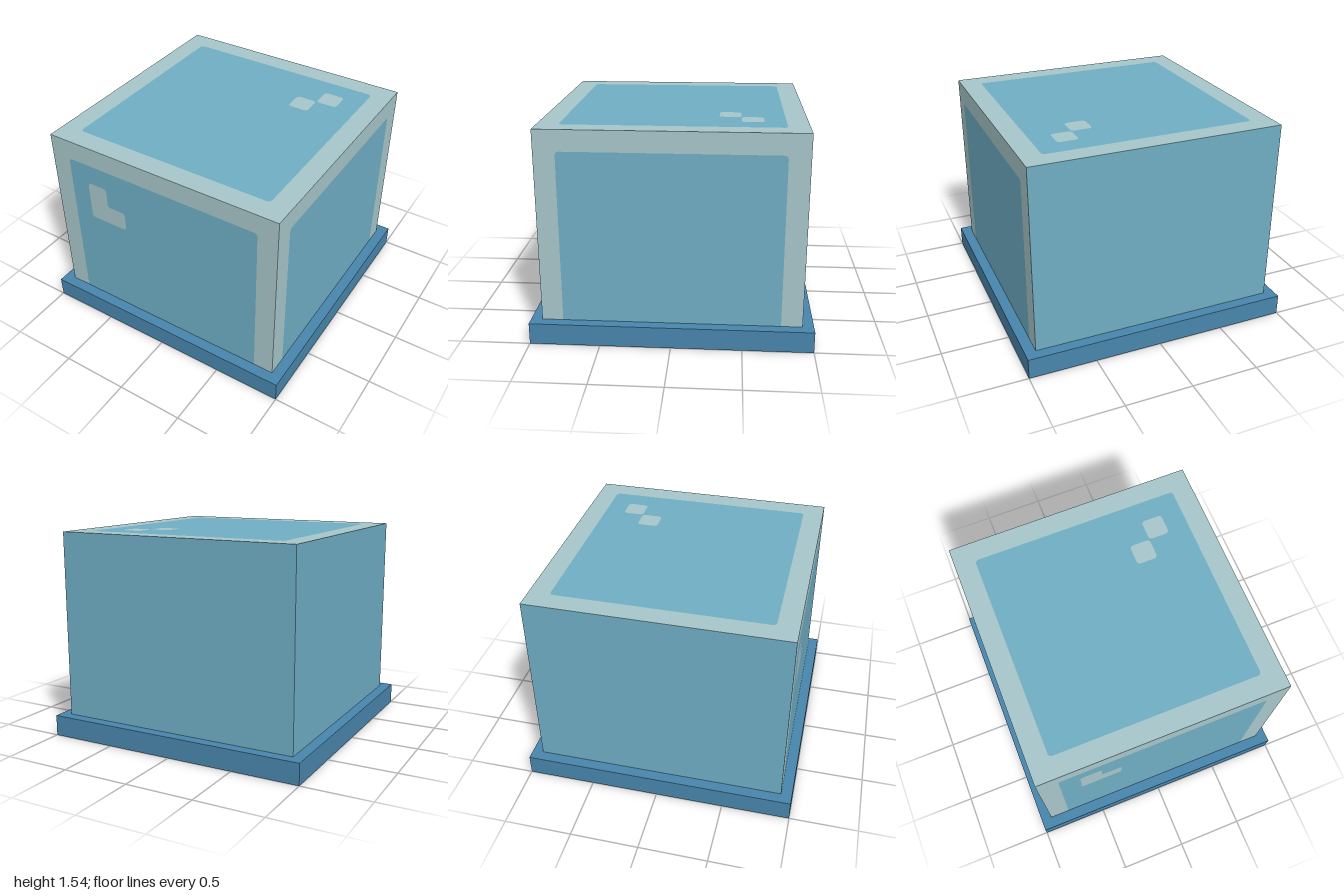
import * as THREE from 'three';

const BASE_H = 0.155, TOP = 1.54, HALF = 0.92, PANEL = 0.77, HOLE = 0.845, R = 0.03;

const flat = (name, color) => {
  const m = new THREE.MeshStandardMaterial({ color, side: THREE.DoubleSide });
  m.name = name;
  return m;
};

// Polygon path; a third value in a point rounds that corner
function trace(path, points) {
  const n = points.length;
  points.forEach(([x, y, r = 0], i) => {
    const toward = ([px, py]) => {
      const d = Math.hypot(px - x, py - y);
      return [x + ((px - x) * r) / d, y + ((py - y) * r) / d];
    };
    const a = toward(points[(i + n - 1) % n]);
    const b = toward(points[(i + 1) % n]);
    if (i === 0) path.moveTo(...a); else path.lineTo(...a);
    if (r) path.quadraticCurveTo(x, y, ...b);
  });
  path.closePath();
  return path;
}

const rect = (x0, y0, x1, y1, r = 0) => [[x0, y0, r], [x1, y0, r], [x1, y1, r], [x0, y1, r]];

function sheet(name, points, material, holes = []) {
  const shape = trace(new THREE.Shape(), points);
  holes.forEach((h) => shape.holes.push(trace(new THREE.Path(), h)));
  const mesh = new THREE.Mesh(new THREE.ShapeGeometry(shape, 5), material);
  mesh.name = name;
  return mesh;
}

export function createModel() {
  const model = new THREE.Group();
  model.name = 'glassBlockOnBase';
  const pale = flat('paleFrame', 0xa6c5c9);
  const blue = flat('glassBlue', 0x6eadc3);
  const deep = flat('baseBlue', 0x4885ac);

  // Base: square ring, open in the middle
  const ring = trace(new THREE.Shape(), rect(-1, -1, 1, 1));
  ring.holes.push(trace(new THREE.Path(), rect(-HOLE, -HOLE, HOLE, HOLE)));
  const base = new THREE.Mesh(new THREE.ExtrudeGeometry(ring, { depth: BASE_H, bevelEnabled: false }), deep);
  base.name = 'base';
  base.rotation.x = -Math.PI / 2;
  model.add(base);

  // Framed side wall: pale border on three edges around a blue panel
  const side = (name, marks) => {
    const wall = new THREE.Group();
    wall.name = name;
    const inTop = TOP - (HALF - PANEL);
    wall.add(
      sheet(name + 'Frame', [
        [-HALF, BASE_H], [-PANEL, BASE_H], [-PANEL, inTop, R], [PANEL, inTop, R],
        [PANEL, BASE_H], [HALF, BASE_H], [HALF, TOP], [-HALF, TOP],
      ], pale),
      sheet(name + 'Panel', [
        [-PANEL, BASE_H], [PANEL, BASE_H], [PANEL, inTop, R], [-PANEL, inTop, R],
      ], blue, marks),
      ...marks.map((m) => sheet(name + 'Glint', m, pale)),
    );
    model.add(wall);
    return wall;
  };

  // Front wall with its L-shaped glint
  const glint = [
    [-0.62, 0.93, R], [-0.31, 0.93, R], [-0.31, 1.08, R],
    [-0.46, 1.08, 0.02], [-0.46, 1.235, R], [-0.62, 1.235, R],
  ];
  side('frontWall', [glint]).position.z = HALF;

  const leftWall = side('leftWall', []);
  leftWall.rotation.y = Math.PI / 2;
  leftWall.position.x = HALF;

  // Plain back and right walls
  const plain = rect(-HALF, BASE_H, HALF, TOP);
  const backWall = sheet('backWall', plain, blue);
  backWall.rotation.y = Math.PI;
  backWall.position.z = -HALF;
  const rightWall = sheet('rightWall', plain, blue);
  rightWall.rotation.y = -Math.PI / 2;
  rightWall.position.x = -HALF;
  model.add(backWall, rightWall);

  // Top: border, panel and two square glints
  const lid = new THREE.Group();
  lid.name = 'top';
  const panel = rect(-PANEL, -PANEL, PANEL, PANEL, R);
  const squares = [rect(0.46, 0.465, 0.615, 0.62, R), rect(0.305, 0.31, 0.46, 0.465, R)];
  lid.add(
    sheet('topFrame', rect(-HALF, -HALF, HALF, HALF), pale, [panel]),
    sheet('topPanel', panel, blue, squares),
    ...squares.map((s) => sheet('topGlint', s, pale)),
  );
  lid.rotation.x = -Math.PI / 2;
  lid.position.y = TOP;
  model.add(lid);

  // Small pale plate inside, beside the right wall
  const inner = sheet('innerPlate', rect(-HALF, 0.27, -PANEL, 0.43), pale);
  inner.position.z = -0.35;
  model.add(inner);

  return model;
}
